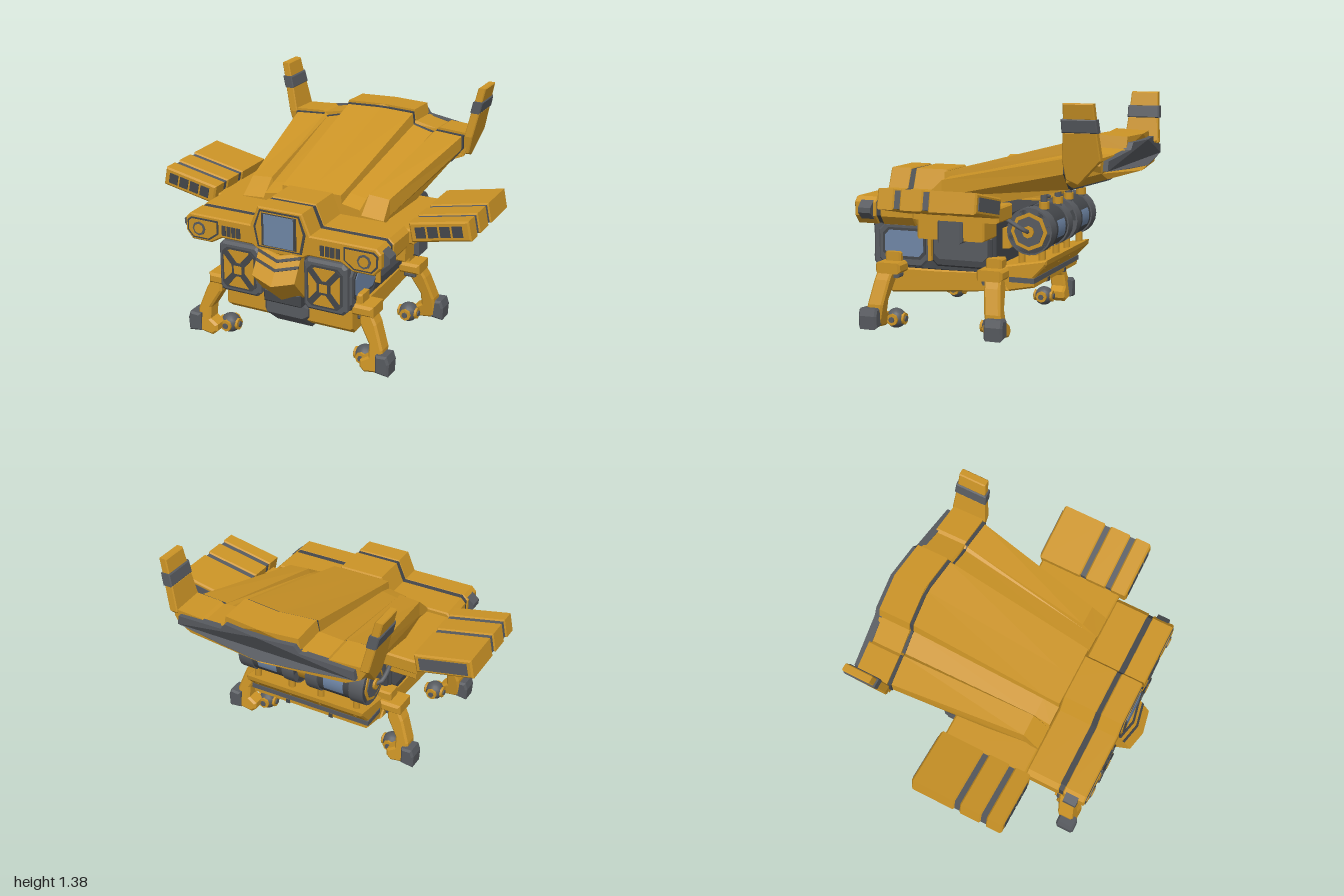
import * as THREE from 'three';

const mat = (name, color) => {
  const m = new THREE.MeshStandardMaterial({ color });
  m.name = name;
  return m;
};

export function createModel() {
  const root = new THREE.Group();
  root.name = 'walkerShip';
  const yellow = mat('ochre yellow', 0xcc9426);
  const gray = mat('mid gray', 0x585b60);
  const dark = mat('dark gray', 0x44474b);
  const blue = mat('glass blue', 0x6f86a6);

  const add = (name, geo, m, parent = root) => {
    const mesh = new THREE.Mesh(geo, m);
    mesh.name = name;
    parent.add(mesh);
    return mesh;
  };
  // chamfered extrusion of a polygon, centred on its depth
  const extrude = (pts, depth, bevel, steps = 1) => {
    const shape = new THREE.Shape(pts.map(p => new THREE.Vector2(p[0], p[1])));
    const g = new THREE.ExtrudeGeometry(shape, {
      depth: depth - 2 * bevel, steps, bevelEnabled: bevel > 0,
      bevelSize: bevel, bevelThickness: bevel, bevelOffset: -bevel, bevelSegments: 1 });
    return g.translate(0, 0, -(depth - 2 * bevel) / 2);
  };
  // polygon in x,y run along z
  const front = (name, m, pts, z0, z1, bevel = 0.01, parent = root) =>
    add(name, extrude(pts, z1 - z0, bevel).translate(0, 0, (z0 + z1) / 2), m, parent);
  // polygon in z,y run along x
  const side = (name, m, pts, x0, x1, bevel = 0.01, steps = 1) =>
    add(name, extrude(pts, Math.abs(x1 - x0), bevel, steps).rotateY(-Math.PI / 2).translate((x0 + x1) / 2, 0, 0), m);
  const rect = (a, b, c, d) => [[a, c], [b, c], [b, d], [a, d]];
  const octagon = (a, b, c, d, k) => [[a + k, c], [b - k, c], [b, c + k], [b, d - k], [b - k, d], [a + k, d], [a, d - k], [a, c + k]];
  const box = (name, m, x0, x1, y0, y1, z0, z1, bevel = 0.01, parent = root) =>
    front(name, m, rect(Math.min(x0, x1), Math.max(x0, x1), y0, y1), z0, z1, bevel, parent);
  const mirrorPts = half => [...half, ...half.filter(p => p[0] > 0).reverse().map(p => [-p[0], ...p.slice(1)])];
  const warp = (geo, fn) => {
    const p = geo.attributes.position, v = new THREE.Vector3();
    for (let i = 0; i < p.count; i++) {
      fn(v.fromBufferAttribute(p, i));
      p.setXYZ(i, v.x, v.y, v.z);
    }
    geo.computeVertexNormals();
  };
  // flat-faced skin through rings ordered from front to back
  const loft = (name, m, rings) => {
    const pos = [], n = rings[0].length;
    for (let r = 0; r < rings.length - 1; r++) for (let i = 0; i < n; i++) {
      const j = (i + 1) % n, a = rings[r], b = rings[r + 1];
      pos.push(...a[i], ...a[j], ...b[j], ...a[i], ...b[j], ...b[i]);
    }
    [[rings[0], 1], [rings[rings.length - 1], -1]].forEach(([ring, facing]) => {
      const flat = ring.map(p => new THREE.Vector2(p[0], p[1]));
      THREE.ShapeUtils.triangulateShape(flat, []).forEach(t => {
        const ccw = THREE.ShapeUtils.area(t.map(i => flat[i])) * facing > 0;
        (ccw ? t : [t[0], t[2], t[1]]).forEach(i => pos.push(...ring[i]));
      });
    });
    const g = new THREE.BufferGeometry();
    g.setAttribute('position', new THREE.Float32BufferAttribute(pos, 3));
    g.computeVertexNormals();
    return add(name, g, m);
  };
  const ring = (half, z, vee = 0, dy = 0, grow = 1) => mirrorPts(half).map(([x, y]) =>
    [x * grow, 1 + (y - 1) * grow + dy, z - vee * Math.max(0, 1 - Math.abs(x) / 0.57)]);

  // long rising back with raised spine and outer ribs
  const backEnd = [[0, 1.175], [.225, 1.175], [.235, 1.105], [.37, 1.075], [.39, 1.09], [.575, 1.085], [.575, 1], [.5, .905], [0, .905]];
  loft('backHull', yellow, [
    ring([[0, .93], [.19, .93], [.195, .88], [.31, .86], [.32, .83], [.46, .82], [.46, .78], [.44, .72], [0, .72]], .36),
    ring([[0, .955], [.195, .955], [.2, .915], [.31, .895], [.32, .925], [.45, .915], [.455, .82], [.44, .72], [0, .72]], .26),
    ring(backEnd, -.545, .07)]);
  loft('tailSeam', dark, [ring(backEnd, -.525, .07, 0, 1.012), ring(backEnd, -.55, .07, 0, 1.012)]);
  const tail = [[0, 1.19], [.23, 1.19], [.245, 1.12], [.39, 1.095], [.41, 1.105], [.595, 1.1], [.61, 1.06], [.585, .95], [.5, .91], [0, .91]];
  loft('tailBlock', yellow, [ring(tail, -.545, .07),
    ring(tail.map(([x, y]) => [x, y < 1 ? y + .06 : y - .008]), -.745, .07)]);
  const bumper = [[0, 1.15], [.22, 1.15], [.25, 1.11], [.56, 1.075], [.57, 1.02], [.25, 1.005], [0, 1.0]];
  loft('rearBumper', gray, [ring(bumper, -.73, .07), ring(bumper, -.775, .07)]);

  // cockpit hood in two slabs with a dark band between
  const hood = mirrorPts([[0, .94], [.14, .94], [.19, .82], [.59, .82], [.62, .79], [.62, .71], [.58, .66], [.45, .66], [.38, .7], [.18, .7], [.13, .67], [0, .67]]);
  front('hoodRear', yellow, hood, .36, .575, .008);
  front('hoodBand', dark, hood.map(([x, y]) => [x * .988, .78 + (y - .78) * .96]), .57, .605, 0);
  front('hoodFront', yellow, hood, .6, .74, .008);
  front('windscreenFrame', dark, mirrorPts([[0, .925], [.125, .925], [.165, .82], [.14, .7], [0, .7]]), .738, .744, 0);
  front('windscreenTrim', yellow, mirrorPts([[0, .915], [.118, .915], [.15, .82], [.128, .71], [0, .71]]), .74, .747, 0);
  front('windscreenBorder', dark, rect(-.11, .11, .715, .91), .742, .75, 0);
  front('windscreen', blue, rect(-.1, .1, .72, .905), .745, .753, 0);
  for (const x of [-.1, .1]) box('windscreenBar', dark, x - .005, x + .005, .72, .905, .748, .757, 0);

  // faceted nose with chevrons
  const bend = v => { v.z -= Math.abs(v.x) * .2; v.y += Math.abs(v.x) * .25 - .02; };
  const nose = (name, m, pts, w) => warp(side(name, m, pts, -w, w, 0, 2).geometry, bend);
  nose('nose', yellow, [[.66, .69], [.755, .69], [.85, .54], [.73, .41], [.66, .41]], .135);
  for (const t of [.12, .42]) {
    const at = (u, o) => [.755 + .095 * u + .845 * o, .69 - .15 * u + .535 * o];
    nose('noseChevron', dark, [at(t, -.004), at(t, .005), at(t + .1, .005), at(t + .1, -.004)], .136);
  }
  box('noseUnderside', dark, -.12, .12, .36, .44, .66, .73);

  // body, keel and lower hull
  side('bodyCore', dark, [[.7, .67], [.7, .43], [.65, .37], [-.06, .37], [-.06, .7], [.36, .7]], -.405, .405);
  side('lowerHull', yellow, [[.66, .375], [.66, .26], [.61, .22], [-.14, .28], [-.06, .39], [.3, .375]], -.41, .41);
  side('keel', gray, [[.7, .36], [.7, .28], [.58, .18], [-.04, .235], [-.04, .34]], -.14, .14, .025);
  side('rearRamp', yellow, [[0, .41], [-.37, .475], [-.365, .445], [-.29, .365], [-.29, .31], [-.14, .28], [0, .28]], -.4, .4);
  box('rampBand', gray, -.405, .405, .335, .365, -.295, -.14, 0);
  for (const x of [-.15, .15]) side('rampStrip', dark, [[-.02, .3], [-.02, .266], [-.14, .275], [-.296, .305], [-.296, .33]], x - .012, x + .012, 0);
  box('rearBlock', yellow, -.3, .3, .51, .63, -.11, -.05);

  for (const s of [1, -1]) {
    const X = pts => pts.map(([x, y]) => [x * s, y]);
    // headlamps and grille
    front('wingOutline', dark, X([[.4, .8], [.58, .8], [.605, .78], [.605, .715], [.57, .675], [.46, .675], [.4, .72]]), .738, .744, 0);
    front('wingPanel', yellow, X([[.41, .79], [.575, .79], [.595, .775], [.595, .72], [.565, .685], [.465, .685], [.41, .725]]), .74, .747, 0);
    [[.042, gray, .753], [.029, yellow, .757]].forEach(([r, m, z]) =>
      add('headlamp', new THREE.CylinderGeometry(r, r, .01, 8).toNonIndexed().rotateX(Math.PI / 2).translate(s * .525, .738, z - .005), m));
    for (let i = 0; i < 4; i++) box('grilleSlot', dark, s * (.255 + i * .032), s * (.279 + i * .032), .72, .78, .738, .746, 0);
    front('hoodCornerFin', gray, X([[.61, .8], [.655, .76], [.655, .73], [.61, .69]]), .62, .7, 0);

    // square intake panels with crossed bars
    front('intakeFrame', gray, X(octagon(.14, .41, .37, .68, .025)), .66, .73, .015);
    front('intakeRecess', dark, X(octagon(.165, .385, .4, .65, .03)), .729, .734, 0);
    front('intakePlate', yellow, X(octagon(.177, .373, .412, .638, .035)), .73, .738, 0);
    for (const r of [.86, -.86]) {
      const bar = add('intakeBar', new THREE.BoxGeometry(.28, .035, .009), dark);
      bar.position.set(s * .275, .525, .739);
      bar.rotation.z = r;
    }
    front('intakeHub', dark, X(octagon(.235, .315, .485, .565, .015)), .738, .747, 0);
    front('intakeHubCap', yellow, X(rect(.25, .3, .5, .55)), .743, .75, 0);

    // flank panels, window and stowage
    side('flankFrame', gray, octagon(.37, .69, .385, .64, .04), s * .39, s * .42);
    side('windowRim', dark, octagon(.38, .66, .43, .615, .035), s * .416, s * .424, 0);
    side('sideWindow', blue, octagon(.395, .645, .447, .6, .03), s * .42, s * .428, 0);
    side('flankPanelRim', dark, octagon(-.04, .34, .4, .61, .03), s * .39, s * .42);
    side('flankPanel', gray, octagon(-.015, .325, .445, .6, .03), s * .415, s * .424, 0);
    box('flankPillar', yellow, s * .39, s * .44, .43, .66, .338, .36, .004);
    box('upperRail', yellow, s * .39, s * .59, .59, .71, -.06, .355);
    box('stowageBox', gray, s * .5, s * .615, .575, .71, .065, .22, .015);
    box('podMount', yellow, s * .42, s * .645, .71, .8, -.17, .36);

    // tilted side pods
    const pod = new THREE.Group();
    pod.name = 'sidePod';
    pod.position.set(s * .815, .835, 0);
    pod.rotation.z = s * .2;
    root.add(pod);
    [[-.185, .095], [.125, .265], [.295, .4]].forEach(([a, b]) => box('podShell', yellow, -.18, .18, -.058, .058, a, b, .01, pod));
    [[.09, .13], [.26, .3]].forEach(([a, b]) => box('podBand', gray, -.172, .172, -.05, .05, a, b, 0, pod));
    for (let i = 0; i < 4; i++) box('podSlot', dark, -.145 + i * .074, -.085 + i * .074, -.032, .032, .397, .404, 0, pod);
    box('podRearPanel', gray, -.15, .15, -.037, .037, -.19, -.183, 0, pod);

    // canted tail fins
    const fin = (name, m, pts, t) => warp(side(name, m, pts, s * (.61 - t), s * (.61 + t), .006).geometry,
      v => { v.x += s * (v.y - 1.08) * .22; });
    fin('finBase', yellow, [[-.535, 1.08], [-.55, 1.235], [-.74, 1.235], [-.755, 1.08], [-.62, .94], [-.55, .97]], .027);
    fin('finBand', gray, [[-.545, 1.23], [-.545, 1.305], [-.742, 1.305], [-.748, 1.23]], .031);
    fin('finTip', yellow, [[-.555, 1.3], [-.56, 1.39], [-.73, 1.39], [-.735, 1.3]], .024);

    // transverse tanks: axis along x
    const drum = (name, m, r, x0, x1, n = 20) => add(name, new THREE.CylinderGeometry(r, r, x1 - x0, n).toNonIndexed()
      .rotateZ(-Math.PI / 2).translate(s * (x0 + x1) / 2, .64, -.27), m);
    drum('tank', dark, .128, .04, .42);
    drum('tankBand', gray, .137, .04, .12);
    drum('tankBand', gray, .137, .33, .42);
    drum('tankCoupling', yellow, .1, 0, .045, 8);
    drum('tankEndRing', yellow, .11, .41, .426, 8);
    drum('tankEndDisc', gray, .088, .41, .432, 8);
    drum('tankHub', yellow, .035, .41, .446, 8);
    add('tankWindow', new THREE.CylinderGeometry(.131, .131, .13, 8, 1, true, Math.PI - .4, .8)
      .rotateZ(-Math.PI / 2).translate(s * .225, .64, -.27), blue);
    for (const x of [.1, .34]) {
      const post = (y, z, h, r, m) => add('tankPost', new THREE.CylinderGeometry(r, r, h, 8).translate(s * x, y, z), m);
      post(.48, -.195, .13, .022, yellow);
      post(.48, -.32, .13, .022, yellow);
      post(.82, -.33, .14, .022, gray);
      post(.785, -.33, .04, .032, yellow);
    }
    add('tankStrut', new THREE.TubeGeometry(new THREE.CatmullRomCurve3([[.4, .73, -.07], [.46, .72, -.13], [.46, .65, -.26], [.42, .64, -.27]]
      .map(([x, y, z]) => new THREE.Vector3(s * x, y, z))), 10, .014, 6), gray);

    // legs: front pair lean forward, rear pair lean back
    for (const [zc, d] of [[.58, 1], [-.065, -1]]) {
      box('hip', yellow, s * .4, s * .535, .355, .42, zc - .08, zc + .08, .015);
      box('hipBracket', yellow, s * .37, s * .46, .4, .475, zc - .05, zc + .05);
      box('hipPin', gray, s * .43, s * .5, .325, .36, zc - .06, zc + .06);
      const leg = front('leg', yellow, X([[.45, .4], [.51, .4], [.555, .32], [.605, .18], [.61, .05], [.5, .035], [.47, .06], [.47, .1], [.52, .13], [.52, .2], [.455, .31]]), -.05, .05, .012);
      warp(leg.geometry, v => { v.z += zc + d * (.015 + (.4 - v.y) * .15); });
      const f = zc + d * .073;
      const foot = front('footPad', gray, X([[.575, .16], [.645, .165], [.66, .12], [.655, .04], [.575, .05]]), f - .058, f + .058, .012);
      foot.geometry.computeVertexNormals();
      const wheel = new THREE.Vector3(s * .45, .073, zc - d * .015);
      add('footBall', new THREE.SphereGeometry(.06, 14, 10), gray).position.copy(wheel);
      [[.036, .124, yellow], [.018, .14, gray]].forEach(([r, len, m]) => {
        add('ballCap', new THREE.CylinderGeometry(r, r, len, 8).rotateX(Math.PI / 2), m).position.copy(wheel);
        add('ballCap', new THREE.CylinderGeometry(r, r, len, 8).rotateZ(Math.PI / 2), m).position.copy(wheel);
      });
    }
  }
  return root;
}
